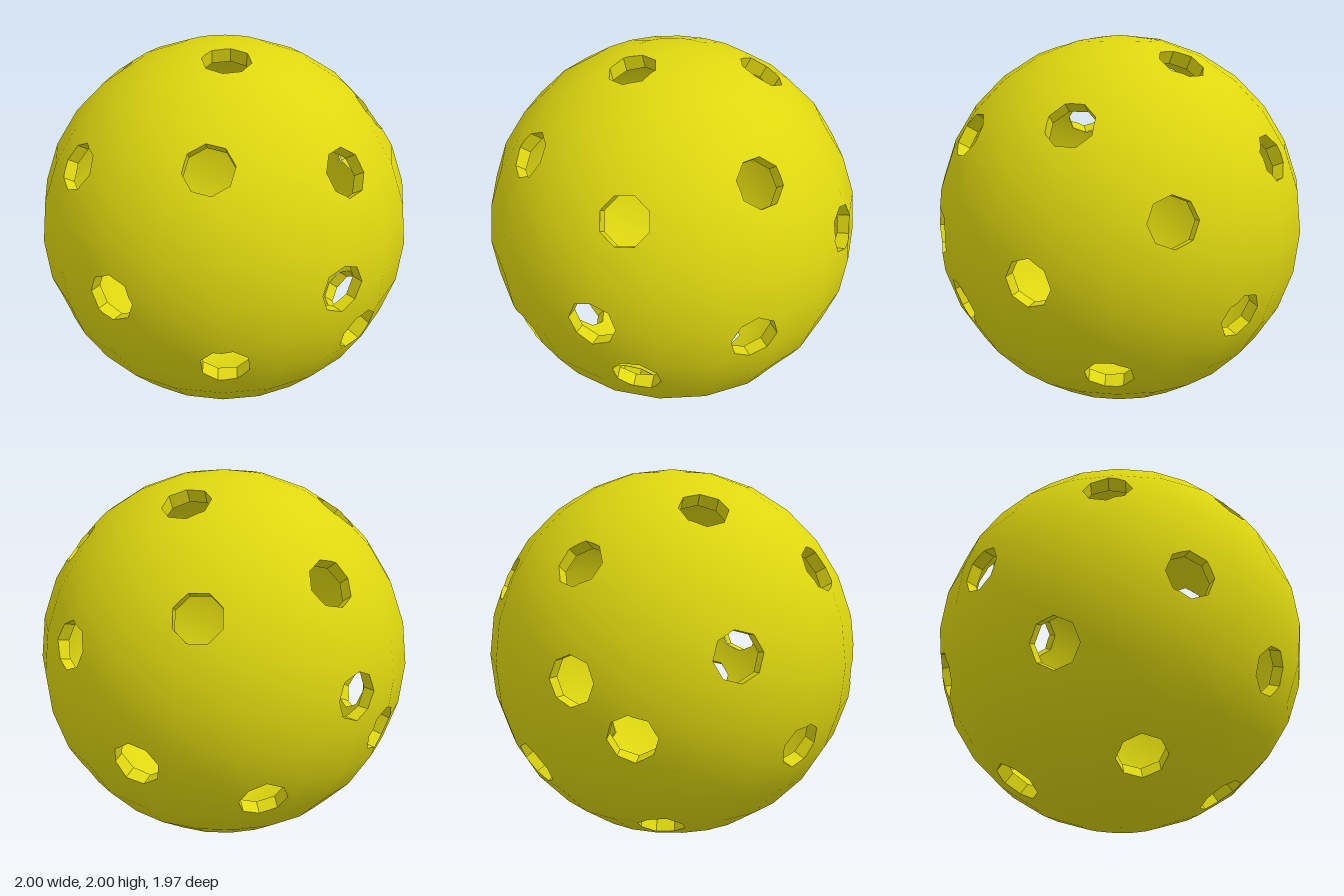
import * as THREE from 'three';

const HOLES = 26, HOLE_R = 0.125, SIDES = 8, INNER_R = 0.93;
const APOTHEM = HOLE_R * Math.cos(Math.PI / SIDES);

// Octagonal holes spread by the golden angle along the z axis
function makeHoles() {
  const holes = [];
  for (let i = 0; i < HOLES; i++) {
    const z = 1 - (2 * i) / (HOLES - 1), r = Math.sqrt(Math.max(0, 1 - z * z));
    const pole = i === 0 || i === HOLES - 1;
    const a = pole ? 0 : THREE.MathUtils.degToRad(i * 137.508 - 197.6);
    const axis = new THREE.Vector3(r * Math.cos(a), r * Math.sin(a), z);
    const e1 = new THREE.Vector3(z * Math.cos(a), z * Math.sin(a), -r);
    const e2 = new THREE.Vector3().crossVectors(axis, e1);
    const sides = [];
    for (let k = 0; k < SIDES; k++) {
      const t = ((k + 0.5) * 2 * Math.PI) / SIDES;
      sides.push(e1.clone().multiplyScalar(Math.cos(t)).addScaledVector(e2, Math.sin(t)));
    }
    holes.push({ axis, sides });
  }
  return holes;
}

// Split a convex polygon by the plane p.m = APOTHEM
function split(poly, m) {
  const inside = [], outside = [];
  poly.forEach((p, i) => {
    const q = poly[(i + 1) % poly.length];
    const dp = p.dot(m) - APOTHEM, dq = q.dot(m) - APOTHEM;
    if (dp <= 1e-9) inside.push(p);
    if (dp >= -1e-9) outside.push(p);
    if ((dp < -1e-9 && dq > 1e-9) || (dp > 1e-9 && dq < -1e-9)) {
      const c = p.clone().lerp(q, dp / (dp - dq));
      inside.push(c);
      outside.push(c);
    }
  });
  return { inside, outside };
}

// Cut the holes out of a sphere; returns the kept polygons and the rim edges
function perforate(radius, holes) {
  const pos = new THREE.SphereGeometry(radius, 20, 14).toNonIndexed().attributes.position;
  let polys = [];
  for (let i = 0; i < pos.count; i += 3) {
    polys.push([0, 1, 2].map((k) => new THREE.Vector3().fromBufferAttribute(pos, i + k)));
  }
  const rims = [];
  for (const { axis, sides } of holes) {
    const kept = [];
    for (const poly of polys) {
      const beyond = sides.some((m) => poly.every((p) => p.dot(m) >= APOTHEM));
      if (beyond || poly[0].dot(axis) < 0.4) {
        kept.push(poly);
        continue;
      }
      let rest = poly;
      const pieces = [];
      for (const m of sides) {
        const { inside, outside } = split(rest, m);
        if (outside.length > 2) pieces.push(outside);
        rest = inside;
        if (rest.length < 3) break;
      }
      if (rest.length < 3) {
        kept.push(poly);
        continue;
      }
      kept.push(...pieces);
      rest.forEach((p, i) => {
        const q = rest[(i + 1) % rest.length];
        const onSide = (v, m) => Math.abs(v.dot(m) - APOTHEM) < 1e-6;
        if (sides.some((m) => onSide(p, m) && onSide(q, m))) rims.push({ p, q, axis });
      });
    }
    polys = kept;
  }
  return { polys, rims };
}

// Fan polygons into a geometry; sign = 1 or -1 gives round normals out or in, 0 gives flat ones
function toGeometry(polys, sign) {
  const pos = [], nor = [];
  for (const poly of polys) {
    for (let i = 1; i < poly.length - 1; i++) {
      const tri = sign < 0 ? [poly[0], poly[i + 1], poly[i]] : [poly[0], poly[i], poly[i + 1]];
      for (const v of tri) {
        pos.push(v.x, v.y, v.z);
        const n = v.clone().normalize().multiplyScalar(sign);
        nor.push(n.x, n.y, n.z);
      }
    }
  }
  const g = new THREE.BufferGeometry();
  g.setAttribute('position', new THREE.Float32BufferAttribute(pos, 3));
  if (sign) g.setAttribute('normal', new THREE.Float32BufferAttribute(nor, 3));
  else g.computeVertexNormals();
  return g;
}

export function createModel() {
  const yellow = new THREE.MeshStandardMaterial({ color: 0xded70f });
  yellow.name = 'yellow plastic';
  const ball = new THREE.Group();
  ball.name = 'perforatedBall';

  const holes = makeHoles();
  const outer = perforate(1, holes);
  const inner = perforate(INNER_R, holes);

  // Hole walls run from each outer rim edge straight in to the inner shell
  const depth = Math.sqrt(INNER_R ** 2 - HOLE_R ** 2) - 0.006;
  const walls = outer.rims.map(({ p, q, axis }) => {
    const sink = (v) => v.clone().addScaledVector(axis, depth - v.dot(axis));
    return [p, q, sink(q), sink(p)];
  });

  const add = (name, geometry) => {
    const mesh = new THREE.Mesh(geometry, yellow);
    mesh.name = name;
    mesh.position.y = 1;
    ball.add(mesh);
  };
  add('outerShell', toGeometry(outer.polys, 1));
  add('innerShell', toGeometry(inner.polys, -1));
  add('holeWalls', toGeometry(walls, 0));
  return ball;
}
